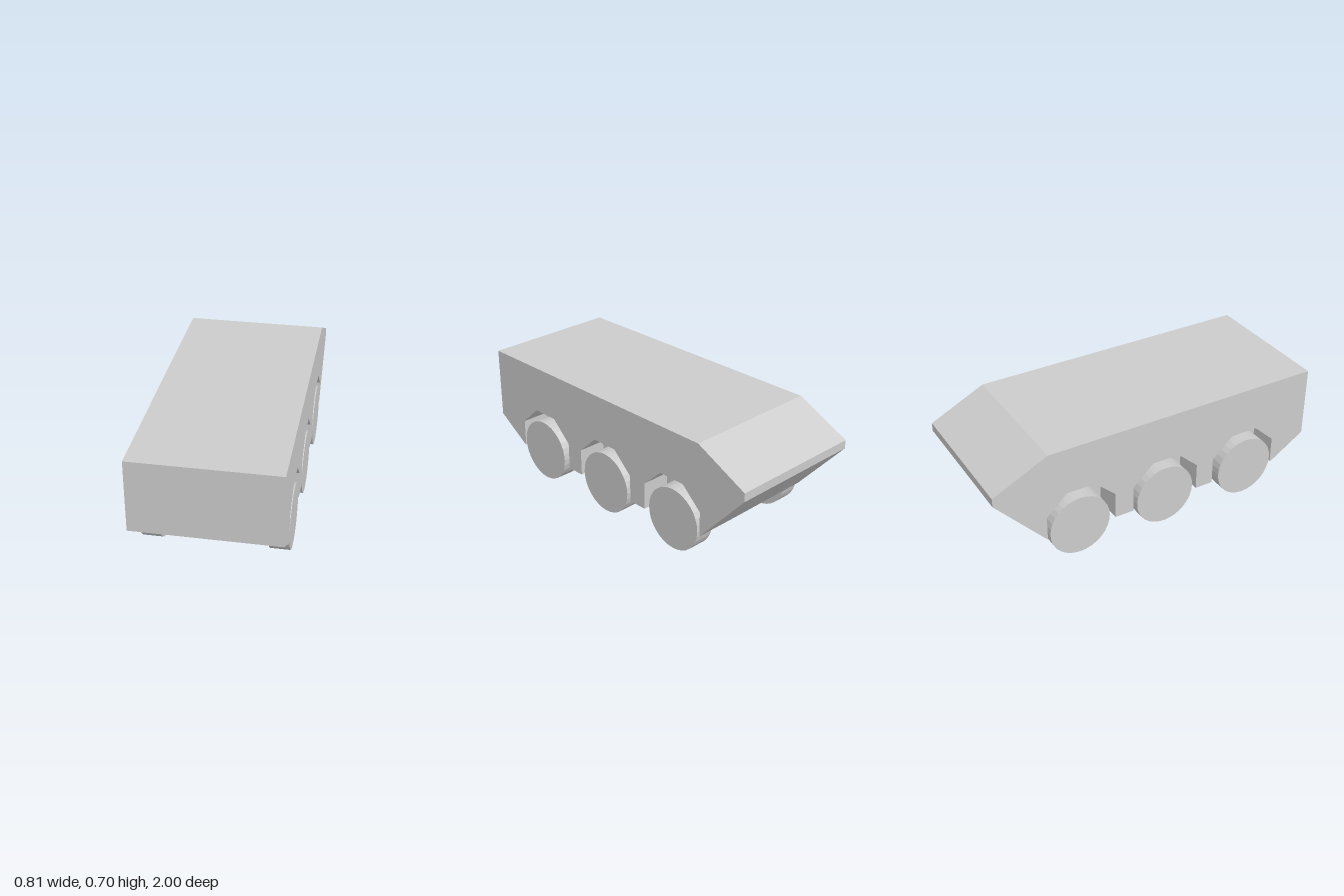
import * as THREE from 'three';

const HALF_WIDTH = 0.405; // hull half width
const WELL_INNER = 0.235; // inner wall of the wheel wells
const BOTTOM = 0.15;

// Extrude a side profile of [z, y] points from x0 to x1
function extrudeAcross(points, x0, x1, material) {
  const shape = new THREE.Shape(points.map(([z, y]) => new THREE.Vector2(-z, y)));
  const geometry = new THREE.ExtrudeGeometry(shape, { depth: x1 - x0, bevelEnabled: false });
  geometry.rotateY(Math.PI / 2); // shape x -> -z, depth -> +x
  geometry.translate(x0, 0, 0);
  return new THREE.Mesh(geometry, material);
}

export function createModel() {
  const model = new THREE.Group();
  const material = new THREE.MeshStandardMaterial({ color: 0xcccccc, flatShading: true });

  // Hull outline above the belly, from the front round to the rear
  const upper = [[0.788, BOTTOM], [1, 0.285], [1, 0.705], [-0.68, 0.705], [-1, 0.55], [-1, 0.5]];

  // Solid centre of the hull, between the wheel wells
  const core = extrudeAcross([...upper, [-0.688, BOTTOM]], -WELL_INNER, WELL_INNER, material);
  core.name = 'hullCore';
  model.add(core);

  // Angular wheel arches cut into the hull sides, rear to front
  const sideProfile = [...upper];
  [-0.492, 0.041, 0.569].forEach((c, i) => {
    sideProfile.push(
      [c - 0.209, i === 0 ? 0.163 : BOTTOM], // the rear arch opens onto the sloped tail
      [c - 0.209, 0.31], [c - 0.083, 0.427], [c + 0.083, 0.427],
      [c + 0.209, 0.31], [c + 0.209, BOTTOM]
    );
  });
  const leftSide = extrudeAcross(sideProfile, WELL_INNER, HALF_WIDTH, material);
  leftSide.name = 'leftHullSide';
  const rightSide = extrudeAcross(sideProfile, -HALF_WIDTH, -WELL_INNER, material);
  rightSide.name = 'rightHullSide';
  model.add(leftSide, rightSide);

  // Three wheels on each side
  const radius = 0.183, width = 0.112;
  const wheelGeometry = new THREE.CylinderGeometry(radius, radius, width, 32);
  wheelGeometry.rotateZ(Math.PI / 2);
  const axles = { front: 0.587, middle: 0.04, rear: -0.502 };
  for (const [axle, z] of Object.entries(axles)) {
    for (const side of [1, -1]) {
      const wheel = new THREE.Mesh(wheelGeometry, material);
      wheel.name = axle + (side > 0 ? 'Left' : 'Right') + 'Wheel';
      wheel.position.set(side * (HALF_WIDTH - width / 2), radius, z);
      model.add(wheel);
    }
  }
  return model;
}
